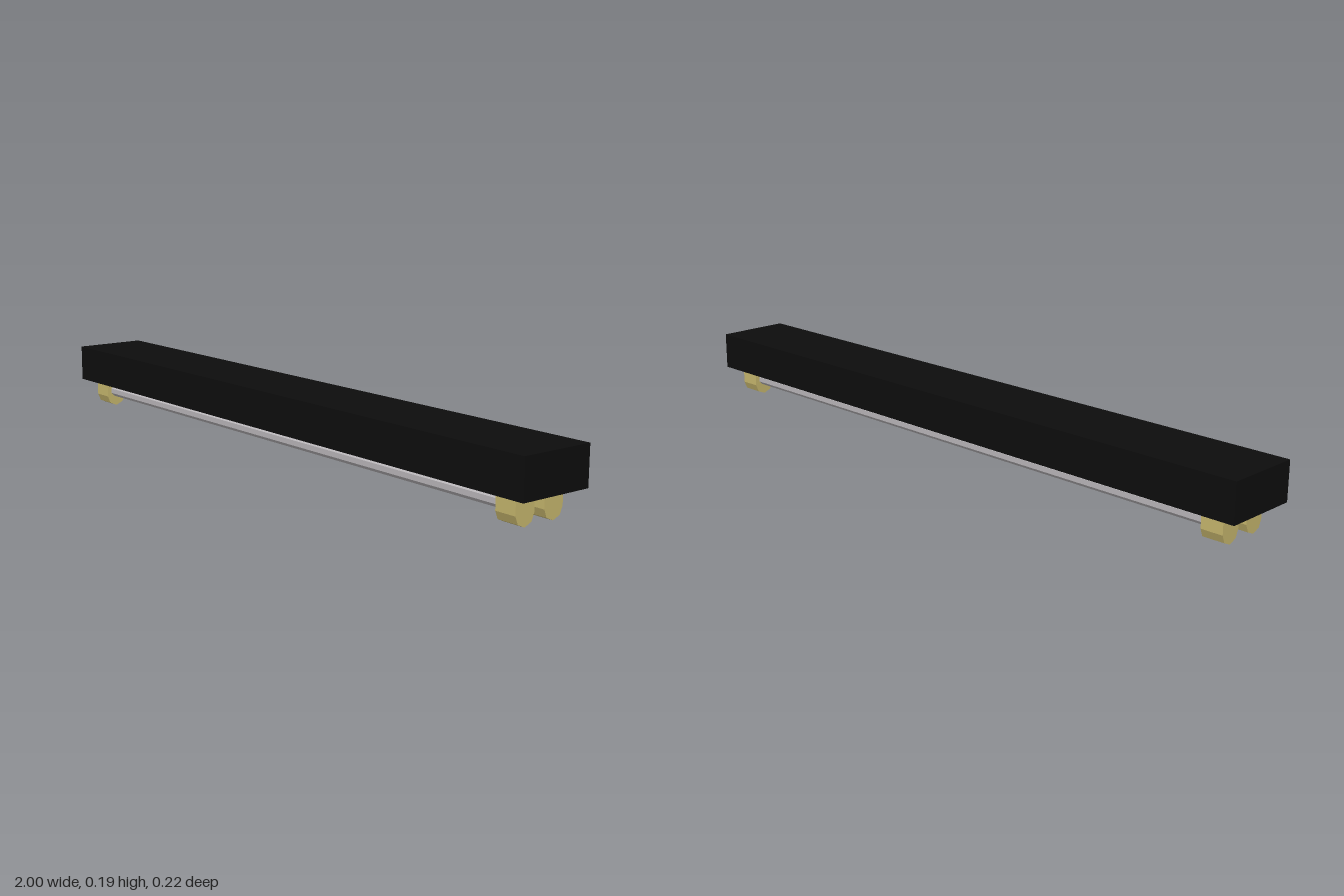
import * as THREE from 'three';

export function createModel() {
  const model = new THREE.Group();
  model.name = 'twinTubeLight';

  const material = (name, color) => {
    const m = new THREE.MeshStandardMaterial({ color, flatShading: true });
    m.name = name;
    return m;
  };
  const black = material('black', 0x0d0d0d);
  const brass = material('brass', 0xc6b66d);
  const grey = material('tubeGrey', 0xbab7ba);

  const add = (name, geometry, mat, x, y, z) => {
    const mesh = new THREE.Mesh(geometry, mat);
    mesh.name = name;
    mesh.position.set(x, y, z);
    model.add(mesh);
  };

  // Long housing
  add('housing', new THREE.BoxGeometry(2, 0.11, 0.222), black, 0, 0.135, 0);

  // Socket: straight sides with a faceted rounded bottom, extruded along x
  const socketWidth = 0.064;
  const profile = [
    [-0.032, 0.08], [-0.032, 0.033], [-0.023, 0.011], [0, 0.001],
    [0.023, 0.011], [0.032, 0.033], [0.032, 0.08],
  ].map(([x, y]) => new THREE.Vector2(x, y));
  const socket = new THREE.ExtrudeGeometry(new THREE.Shape(profile), {
    depth: socketWidth, bevelEnabled: false,
  });
  socket.translate(0, 0, -socketWidth / 2).rotateY(Math.PI / 2);

  // Eight-sided tube lying along x
  const tube = new THREE.CylinderGeometry(0.0195, 0.0195, 1.78, 8);
  tube.rotateY(Math.PI / 8).rotateZ(Math.PI / 2);

  // Front and back tubes, each held by a socket at both ends
  for (const [row, z] of [['front', 0.049], ['back', -0.049]]) {
    add(row + 'Tube', tube, grey, 0, 0.051, z);
    for (const [side, x] of [['Left', 0.918], ['Right', -0.918]]) {
      add(row + side + 'Socket', socket, brass, x, 0, z);
    }
  }

  return model;
}
